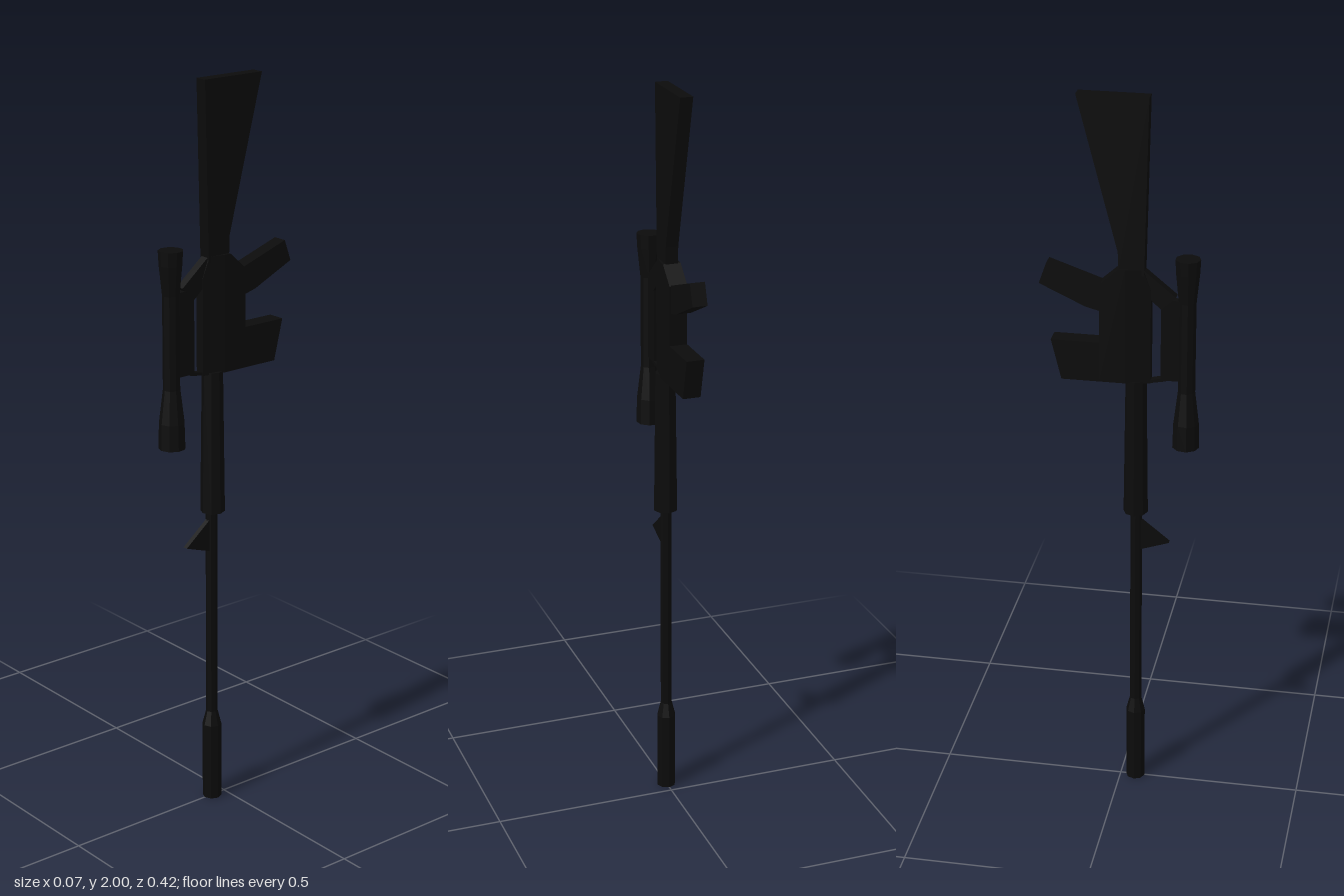
import * as THREE from 'three';

const black = new THREE.MeshStandardMaterial({ color: 0x0b0b0b, flatShading: true });
black.name = 'matte black';

export function createModel() {
  const model = new THREE.Group();
  model.name = 'rifle';

  const add = (name, geometry) => {
    const mesh = new THREE.Mesh(geometry, black);
    mesh.name = name;
    model.add(mesh);
    return mesh;
  };

  // Side outline of [z, y] points, given thickness along x; halfWidth may vary with z
  const plate = (name, points, halfWidth) => {
    const shape = new THREE.Shape(points.map(([z, y]) => new THREE.Vector2(z, y)));
    const geo = new THREE.ExtrudeGeometry(shape, { depth: 2, bevelEnabled: false });
    geo.translate(0, 0, -1).rotateY(-Math.PI / 2);
    const pos = geo.attributes.position;
    for (let i = 0; i < pos.count; i++) {
      const w = typeof halfWidth === 'function' ? halfWidth(pos.getZ(i)) : halfWidth;
      pos.setX(i, pos.getX(i) * w);
    }
    geo.computeVertexNormals();
    return add(name, geo);
  };

  // Turned part along y from [radius, y] points, bottom to top
  const turned = (name, points, sides, x, z) => {
    const geo = new THREE.LatheGeometry(points.map(([r, y]) => new THREE.Vector2(r, y)), sides);
    add(name, geo).position.set(x, 0, z);
  };

  // Stock and receiver, the receiver narrowing towards its top
  plate('stock', [[0.074, 2], [-0.111, 2], [-0.005, 1.59], [-0.004, 1.53], [0.063, 1.53]], 0.017);
  plate('lowerReceiver', [[0.015, 1.545], [-0.003, 1.545], [-0.053, 1.5], [-0.053, 1.23], [0.015, 1.23]], 0.024);
  plate('upperReceiver', [[0.015, 1.545], [0.015, 1.23], [0.08, 1.23], [0.08, 1.49], [0.06, 1.545]],
    z => THREE.MathUtils.mapLinear(z, 0.015, 0.08, 0.024, 0.013));

  // Grip and magazine
  plate('grip', [[-0.045, 1.5], [-0.19, 1.55], [-0.21, 1.493], [-0.09, 1.437], [-0.045, 1.425]], 0.02);
  plate('magazine', [[-0.045, 1.34], [-0.18, 1.34], [-0.153, 1.23], [-0.045, 1.23]], 0.024);

  // Carry handle: rear strut, rail under the scope, thin front strut
  plate('handleStrut', [[0.06, 1.545], [0.145, 1.475], [0.106, 1.44], [0.078, 1.465]], 0.012);
  plate('handleRail', [[0.106, 1.465], [0.16, 1.465], [0.16, 1.24], [0.106, 1.24]], 0.01);
  plate('handleFrontStrut', [[0.078, 1.23], [0.12, 1.238], [0.12, 1.248], [0.078, 1.238]], 0.01);

  // Handguard, barrel and muzzle
  turned('handguard', [[0, 0.845], [0.033, 0.845], [0.028, 1.235], [0, 1.235]], 8, 0.002, 0.04);
  turned('barrel', [[0.016, 0.24], [0.016, 0.86]], 8, 0, 0.042);
  turned('muzzle', [[0, 0], [0.026, 0], [0.026, 0.22], [0.016, 0.26]], 8, 0, 0.042);
  plate('frontSight', [[0.132, 0.76], [0.045, 0.83], [0.045, 0.73]], 0.007);

  // Scope with flared ends
  turned('scope', [[0, 1.05], [0.036, 1.05], [0.034, 1.12], [0.023, 1.21],
    [0.023, 1.46], [0.031, 1.54], [0.033, 1.578], [0, 1.578]], 9, 0, 0.173);

  return model;
}
